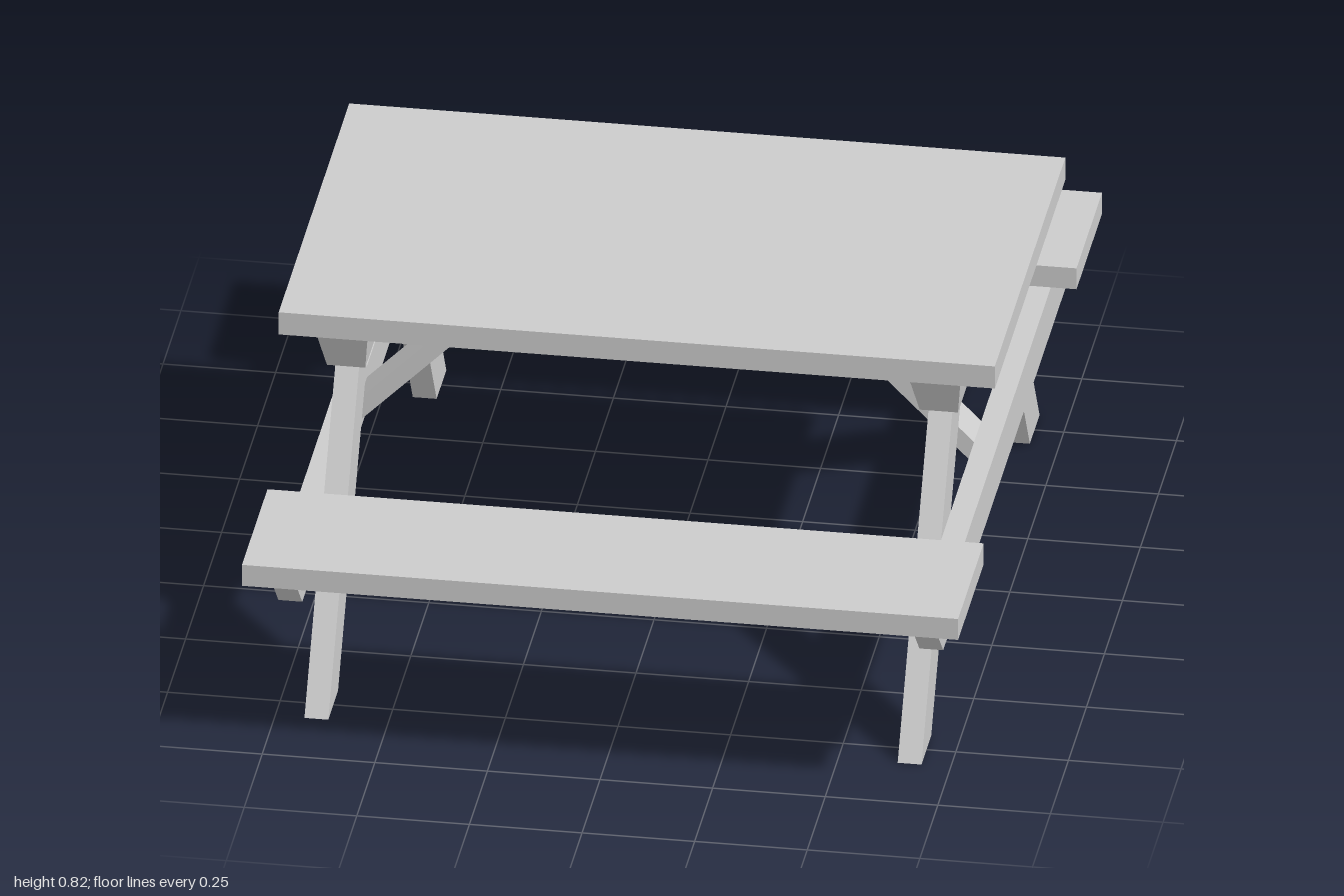
import * as THREE from 'three';

const material = new THREE.MeshStandardMaterial({ color: 0xcccccc, flatShading: true });

function add(parent, name, geometry) {
  const mesh = new THREE.Mesh(geometry, material);
  mesh.name = name;
  parent.add(mesh);
  return mesh;
}

// Board given by its extents on each axis
function board(parent, name, [x0, x1], [y0, y1], [z0, z1]) {
  const mesh = add(parent, name, new THREE.BoxGeometry(x1 - x0, y1 - y0, z1 - z0));
  mesh.position.set((x0 + x1) / 2, (y0 + y1) / 2, (z0 + z1) / 2);
  return mesh;
}

// Flat outline extruded from z = start to z = end
function prism(points, start, end) {
  const shape = new THREE.Shape(points.map(([x, y]) => new THREE.Vector2(x, y)));
  return new THREE.ExtrudeGeometry(shape, { depth: end - start, bevelEnabled: false })
    .translate(0, 0, start);
}

// Outline in (z, y), extruded along x
function sidePrism(points, x0, x1) {
  return prism(points.map(([z, y]) => [-z, y]), x0, x1).rotateY(Math.PI / 2);
}

// Box whose underside is narrower than its top
function taperedBlock(topW, topD, bottomW, bottomD, height) {
  const geometry = new THREE.BoxGeometry(topW, height, topD);
  const p = geometry.attributes.position;
  for (let i = 0; i < p.count; i++) {
    if (p.getY(i) < 0) {
      p.setX(i, p.getX(i) * bottomW / topW);
      p.setZ(i, p.getZ(i) * bottomD / topD);
    }
  }
  geometry.computeVertexNormals();
  return geometry;
}

export function createModel() {
  const table = new THREE.Group();
  table.name = 'picnicTable';

  board(table, 'tableTop', [-0.795, 0.795], [0.77, 0.825], [-0.49, 0.49]);

  // Seats
  board(table, 'frontSeat', [-0.795, 0.795], [0.415, 0.467], [0.645, 1]);
  board(table, 'backSeat', [-0.795, 0.795], [0.415, 0.467], [-1, -0.645]);

  for (const side of [1, -1]) {
    const name = side > 0 ? 'left' : 'right';
    const frame = new THREE.Group();
    frame.name = name + 'Frame';
    if (side < 0) frame.rotation.y = Math.PI; // frame is symmetric front to back
    table.add(frame);

    // Cleat under the top
    add(frame, name + 'Cleat', taperedBlock(0.115, 0.94, 0.085, 0.82, 0.11))
      .position.set(0.658, 0.715, 0);

    // Beam carrying the seats, on the outside of the legs
    add(frame, name + 'SeatBeam', sidePrism(
      [[-0.85, 0.305], [0.85, 0.305], [0.96, 0.415], [-0.96, 0.415]], 0.685, 0.738));

    // Splayed legs
    for (const s of [1, -1]) {
      const outline = [[0.685, 0], [0.82, 0], [0.385, 0.66], [0.25, 0.66]].map(([z, y]) => [z * s, y]);
      add(frame, name + (s * side > 0 ? 'FrontLeg' : 'BackLeg'), sidePrism(outline, 0.632, 0.685));
    }

    // Diagonal brace from the beam to the top
    add(frame, name + 'Brace', prism(
      [[0.685, 0.332], [0.685, 0.387], [0.302, 0.77], [0.247, 0.77]], -0.05, 0.05));
  }
  return table;
}
